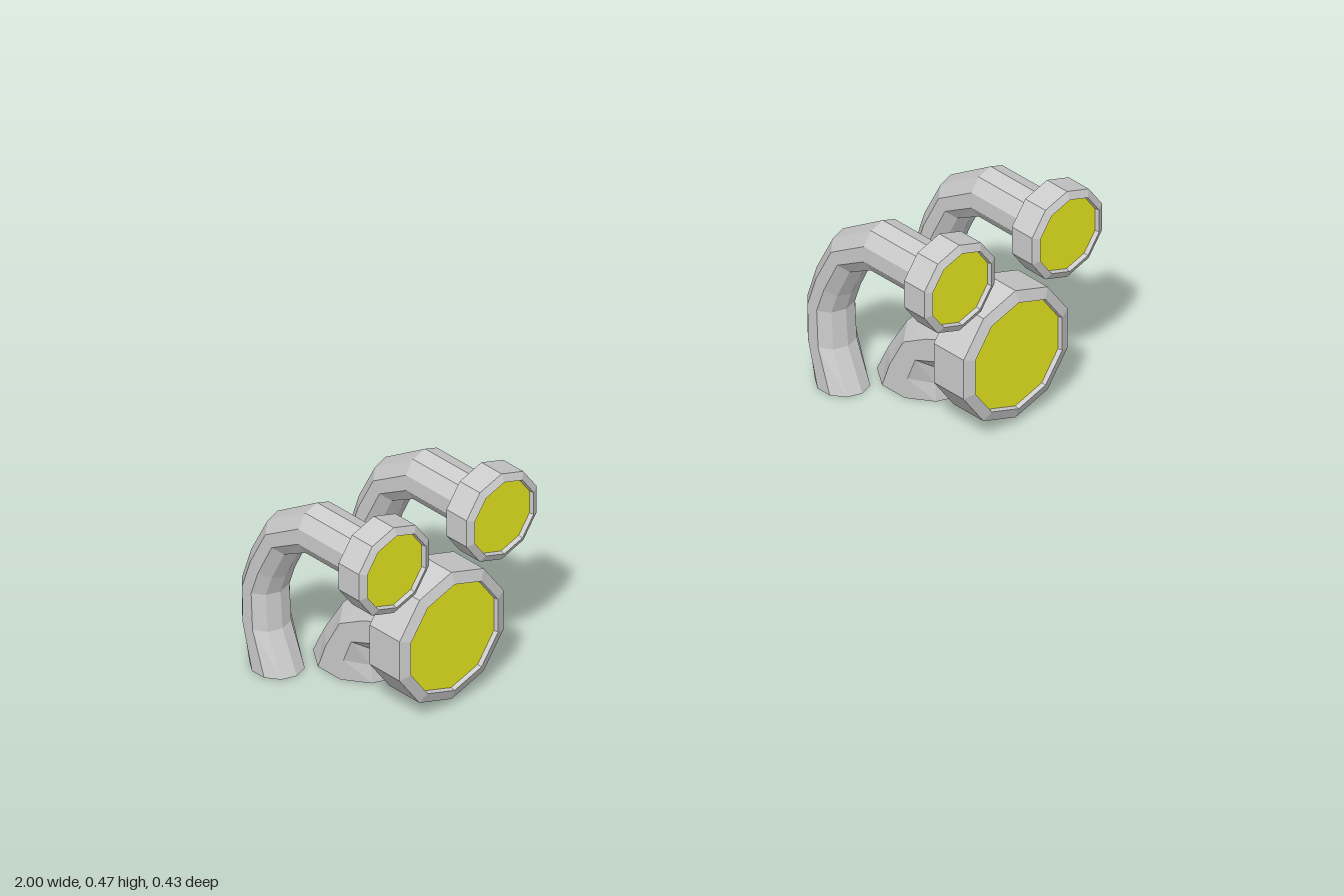
import * as THREE from 'three';

const SIDES = 10;
const grey = new THREE.MeshStandardMaterial({ color: 0xcccccc, flatShading: true });
const yellow = new THREE.MeshStandardMaterial({ color: 0xe6e620, flatShading: true });

// Bent pipe: each ring is [outer z, outer y, inner z, inner y]; halfWidth is its radius along x
function pipeGeometry(rings, halfWidth) {
  const pos = [], idx = [];
  for (const [oz, oy, iz, iy] of rings) {
    for (let j = 0; j < SIDES; j++) {
      const a = (j / SIDES) * Math.PI * 2, c = Math.cos(a);
      pos.push(Math.sin(a) * halfWidth, (oy + iy) / 2 + c * (oy - iy) / 2, (oz + iz) / 2 + c * (oz - iz) / 2);
    }
  }
  const last = rings.length - 1;
  for (let i = 0; i < last; i++) {
    for (let j = 0; j < SIDES; j++) {
      const k = (j + 1) % SIDES;
      const a = i * SIDES + j, b = i * SIDES + k, c = b + SIDES, d = a + SIDES;
      idx.push(a, b, d, b, c, d);
    }
  }
  // flat cap at the foot
  for (let j = 1; j < SIDES - 1; j++) idx.push(last * SIDES, last * SIDES + j, last * SIDES + j + 1);
  const g = new THREE.BufferGeometry();
  g.setAttribute('position', new THREE.Float32BufferAttribute(pos, 3));
  g.setIndex(idx);
  const flat = g.toNonIndexed();
  flat.computeVertexNormals();
  return flat;
}

function addMesh(parent, name, geometry, material) {
  const m = new THREE.Mesh(geometry, material);
  m.name = name;
  parent.add(m);
  return m;
}

// Lamp head: bevelled ten-sided housing with a slightly recessed lens
function lampHead({ y, radius, lens, back, shoulder, front }) {
  const head = new THREE.Group();
  head.name = 'lampHead';
  head.position.y = y;
  const recess = front - 0.01;
  const profile = [
    [0, back], [radius, back], [radius, shoulder], [lens + 0.002, front], [lens, recess],
  ].map(([r, h]) => new THREE.Vector2(r, h));
  addMesh(head, 'housing', new THREE.LatheGeometry(profile, SIDES).rotateX(Math.PI / 2), grey);
  addMesh(head, 'lens', new THREE.CircleGeometry(lens, SIDES, Math.PI / 2), yellow).position.z = recess;
  return head;
}

const SMALL = {
  halfWidth: 0.054,
  rings: [
    [0.14, 0.43, 0.14, 0.316], [-0.022, 0.43, -0.022, 0.316], [-0.137, 0.358, -0.078, 0.288],
    [-0.185, 0.269, -0.113, 0.217], [-0.213, 0.187, -0.128, 0.175], [-0.213, 0.103, -0.122, 0.092],
    [-0.194, 0, -0.081, 0],
  ],
  head: { y: 0.374, radius: 0.099, lens: 0.081, back: 0.14, shoulder: 0.198, front: 0.206 },
};

const LARGE = {
  halfWidth: 0.098,
  rings: [
    [0.121, 0.265, 0.121, 0.06], [0.026, 0.213, 0.094, 0.074], [-0.054, 0.158, 0.056, 0.072],
    [-0.113, 0.069, 0.053, 0.038], [-0.15, 0, 0.06, 0],
  ],
  head: { y: 0.163, radius: 0.147, lens: 0.121, back: 0.121, shoulder: 0.207, front: 0.216 },
};

function lamp(name, spec, x) {
  const g = new THREE.Group();
  g.name = name;
  g.position.x = x;
  addMesh(g, 'pipe', pipeGeometry(spec.rings, spec.halfWidth), grey);
  g.add(lampHead(spec.head));
  return g;
}

export function createModel() {
  const model = new THREE.Group();
  model.name = 'lampClusters';
  // one cluster of three lamps on each side
  for (const [side, s] of [['left', 1], ['right', -1]]) {
    const cluster = new THREE.Group();
    cluster.name = side + 'Cluster';
    cluster.add(
      lamp('outerLamp', SMALL, s * 0.906),
      lamp('innerLamp', SMALL, s * 0.616),
      lamp('largeLamp', LARGE, s * 0.759),
    );
    model.add(cluster);
  }
  return model;
}
